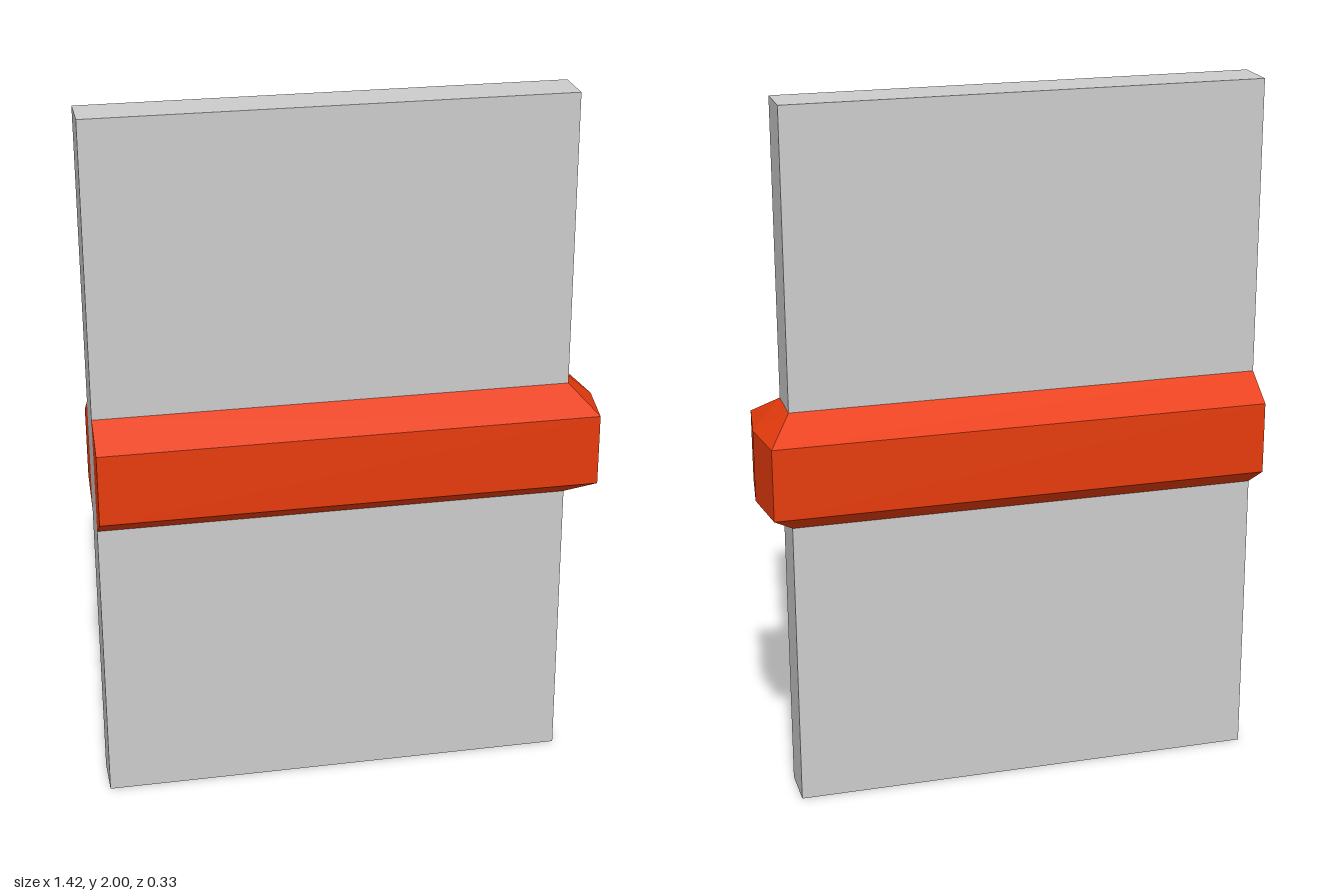
import * as THREE from 'three';

// Plan points of the band: [inner x, inner z, outer x, outer z], front end round to back end
const STATIONS = [
  [-0.71, 0.066, -0.71, 0.166],
  [0.62, 0.066, 0.686, 0.166],
  [0.62, 0, 0.708, 0],
  [0.62, -0.066, 0.686, -0.166],
  [-0.71, -0.066, -0.71, -0.166],
];
const MID = 1.002;
const INNER_HALF = 0.167; // half height against the panel
const OUTER_HALF = 0.102; // half height of the outer face

function bandGeometry() {
  const positions = [];
  const quad = (a, b, c, d) => positions.push(...a, ...b, ...c, ...a, ...c, ...d);

  // Trapezoid section at each plan point
  const sections = STATIONS.map(([ix, iz, ox, oz]) => ({
    inLow: [ix, MID - INNER_HALF, iz],
    inHigh: [ix, MID + INNER_HALF, iz],
    outLow: [ox, MID - OUTER_HALF, oz],
    outHigh: [ox, MID + OUTER_HALF, oz],
  }));

  for (let i = 0; i < sections.length - 1; i++) {
    const p = sections[i], q = sections[i + 1];
    quad(p.outLow, q.outLow, q.outHigh, p.outHigh);
    // Bevels, with their diagonals mirrored front to back
    if (i < 2) {
      quad(q.outHigh, q.inHigh, p.inHigh, p.outHigh);
      quad(p.inLow, q.inLow, q.outLow, p.outLow);
    } else {
      quad(p.outHigh, q.outHigh, q.inHigh, p.inHigh);
      quad(q.inLow, q.outLow, p.outLow, p.inLow);
    }
  }

  // End caps, flush with the panel's edge
  const s = sections[0], e = sections[sections.length - 1];
  quad(s.inLow, s.outLow, s.outHigh, s.inHigh);
  quad(e.inHigh, e.outHigh, e.outLow, e.inLow);

  const geometry = new THREE.BufferGeometry();
  geometry.setAttribute('position', new THREE.Float32BufferAttribute(positions, 3));
  geometry.computeVertexNormals();
  return geometry;
}

export function createModel() {
  const group = new THREE.Group();

  // Upright slab
  const panel = new THREE.Mesh(
    new THREE.BoxGeometry(1.33, 2, 0.132),
    new THREE.MeshStandardMaterial({ color: 0xcccccc, flatShading: true })
  );
  panel.name = 'panel';
  panel.position.set(-0.045, 1, 0);
  group.add(panel);

  // Bevelled bar wrapped round the slab's left edge
  const band = new THREE.Mesh(
    bandGeometry(),
    new THREE.MeshStandardMaterial({ color: 0xe63b0c, flatShading: true })
  );
  band.name = 'band';
  group.add(band);

  return group;
}
